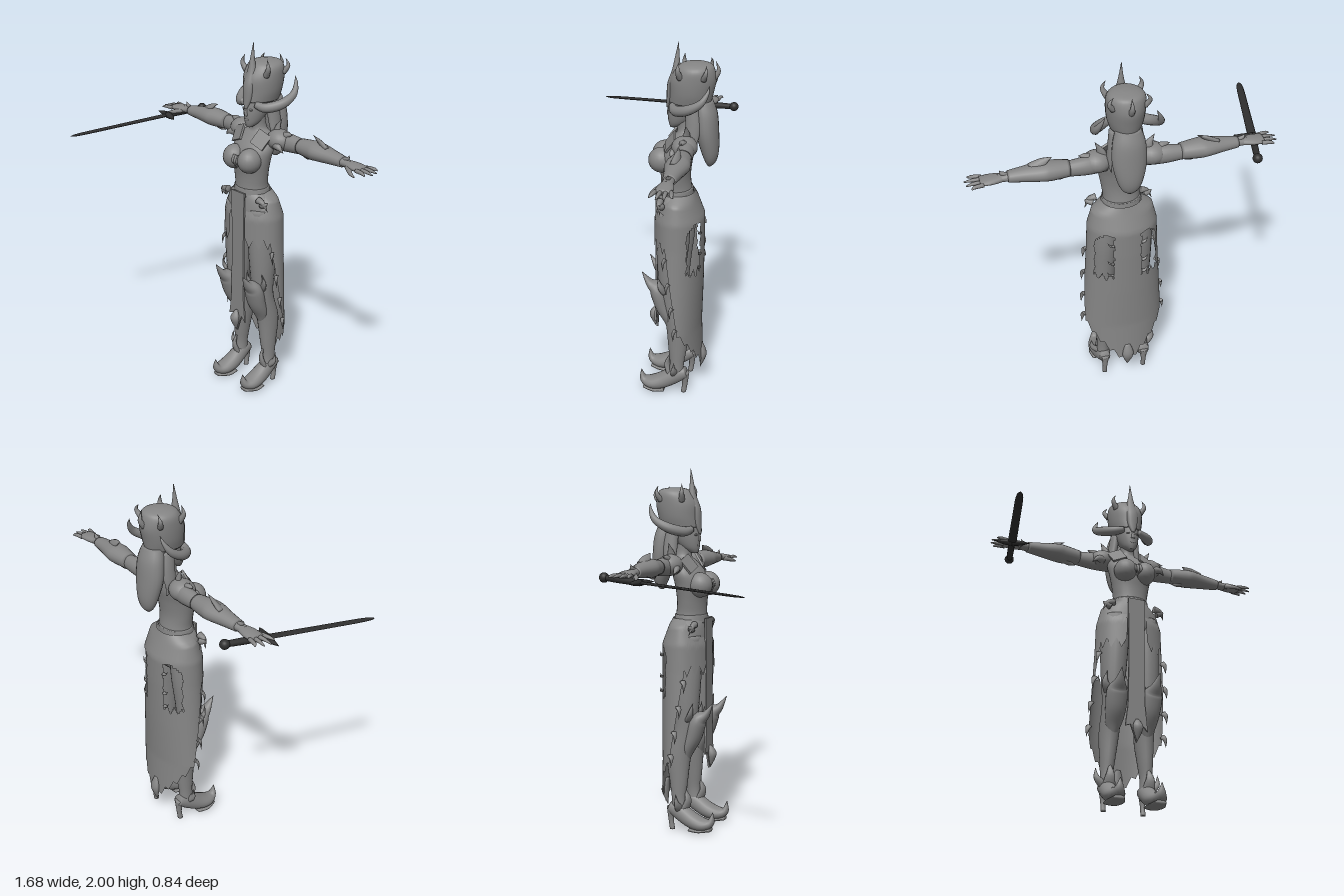
import * as THREE from 'three';

const V = (a) => new THREE.Vector3(a[0], a[1], a[2]);
const X = [1, 0, 0], Y = [0, 1, 0], Z = [0, 0, 1];

// Smooth interpolation through rows of numbers, t in 0..1
function sample(rows, t) {
  const n = rows.length - 1, f = Math.min(t, 0.99999) * n, i = Math.floor(f), u = f - i;
  const r = (k) => rows[Math.max(0, Math.min(n, k))];
  return rows[0].map((_, c) => {
    const a = r(i - 1)[c], b = r(i)[c], d = r(i + 1)[c], e = r(i + 2)[c];
    return b + 0.5 * u * (d - a + u * (2 * a - 5 * b + 4 * d - e + u * (3 * (b - d) + e - a)));
  });
}

// Linear lookup in a table of [y, value...] sorted by falling y
function lookup(table, y) {
  let i = 0;
  while (i < table.length - 2 && y < table[i + 1][0]) i++;
  const a = table[i], b = table[i + 1];
  const t = THREE.MathUtils.clamp((a[0] - y) / (a[0] - b[0]), 0, 1);
  return a.map((v, k) => v + (b[k] - v) * t);
}

function geometry(pos, idx) {
  const g = new THREE.BufferGeometry();
  g.setAttribute('position', new THREE.Float32BufferAttribute(pos, 3));
  g.setIndex(idx);
  g.computeVertexNormals();
  return g;
}

// Closed elliptical loft; rows are [x, y, z, radius along ref, other radius]
function loft(rows, ref = X, axis = null, seg = 20, per = 5) {
  const n = (rows.length - 1) * per, pos = [], idx = [];
  for (let i = 0; i <= n; i++) {
    const p = sample(rows, i / n);
    const T = axis ? V(axis) : V(sample(rows, Math.min(1, (i + 0.5) / n))).sub(V(sample(rows, Math.max(0, (i - 0.5) / n)))).normalize();
    const N = V(ref).addScaledVector(T, -T.dot(V(ref))).normalize(), B = T.clone().cross(N);
    for (let j = 0; j < seg; j++) {
      const a = j / seg * Math.PI * 2;
      const q = V(p).addScaledVector(N, Math.cos(a) * Math.max(p[3], 0.0005)).addScaledVector(B, Math.sin(a) * Math.max(p[4], 0.0005));
      pos.push(q.x, q.y, q.z);
      if (i < n) {
        const k = i * seg + j, l = i * seg + (j + 1) % seg;
        idx.push(k, l, k + seg, l, l + seg, k + seg);
      }
    }
  }
  const c = pos.length / 3;
  pos.push(...sample(rows, 0).slice(0, 3), ...sample(rows, 1).slice(0, 3));
  for (let j = 0; j < seg; j++) {
    const k = (j + 1) % seg;
    idx.push(c, k, j, c + 1, n * seg + j, n * seg + k);
  }
  return geometry(pos, idx);
}

// Open sheet from fn(u, v) -> [x, y, z], with optional holes
function sheet(fn, nu, nv, hole = () => false) {
  const pos = [], idx = [];
  for (let j = 0; j <= nv; j++) for (let i = 0; i <= nu; i++) {
    pos.push(...fn(i / nu, j / nv));
    const k = j * (nu + 1) + i;
    if (i < nu && j < nv && !hole(...fn((i + 0.5) / nu, (j + 0.5) / nv)))
      idx.push(k, k + nu + 1, k + 1, k + 1, k + nu + 1, k + nu + 2);
  }
  return geometry(pos, idx);
}

// Skirt surface: angle 0 is the back, columns are y, half width, half depth
const skirtTable = [[1.19, 0.105, 0.085], [1.15, 0.165, 0.1], [1.05, 0.19, 0.14], [0.9, 0.195, 0.142], [0.65, 0.21, 0.14], [0.4, 0.225, 0.135], [0.1, 0.21, 0.15]];
const reach = [[1.2, 1.95], [0.9, 1.9], [0.65, 1.6], [0.4, 1.3], [0.1, 1.15]];
function skirtPoint(a, y) {
  const [, hx, hz] = lookup(skirtTable, y);
  return [hx * Math.sin(a), y, -0.2 - hz * Math.cos(a) * (Math.cos(a) < 0 ? 0.92 : 1)];
}
const saw = (t) => Math.abs((t % 1) * 2 - 1);

export function createModel() {
  const grey = new THREE.MeshStandardMaterial({ color: 0x858585 });
  grey.name = 'grey';
  const cloth = new THREE.MeshStandardMaterial({ color: 0x858585, side: THREE.DoubleSide });
  cloth.name = 'grey cloth';
  const dark = new THREE.MeshStandardMaterial({ color: 0x303030 });
  dark.name = 'dark metal';
  const model = new THREE.Group(), body = new THREE.Group();
  body.name = 'figure';
  body.position.x = 0.02;
  model.add(body);
  const add = (name, geo, mat = grey, parent = body) => {
    const m = new THREE.Mesh(geo, mat);
    m.name = name;
    parent.add(m);
    return m;
  };
  const ball = (name, p, r, mat, parent) => {
    const m = add(name, new THREE.SphereGeometry(1, 20, 14), mat, parent);
    m.position.set(...p);
    m.scale.set(...r);
    return m;
  };
  // Curved spike through three points
  const spike = (name, a, b, c, r, flat = 1) => add(name, loft([[...a, r, r * flat], [...b, r * 0.65, r * 0.65 * flat], [...c, 0, 0]], [0.9, 0.1, 0.42], null, 10, 5));

  // Torso, pelvis and neck
  add('torso', loft([[0, 1.12, -0.19, 0.13, 0.1], [0, 1.2, -0.185, 0.1, 0.085], [0, 1.28, -0.18, 0.106, 0.08], [0, 1.37, -0.18, 0.122, 0.09],
    [0, 1.44, -0.2, 0.13, 0.085], [0, 1.5, -0.225, 0.1, 0.06], [0, 1.53, -0.23, 0.046, 0.045], [0, 1.6, -0.22, 0.04, 0.045]], X, Y, 28));
  add('pelvis', loft([[0, 0.98, -0.19, 0.14, 0.08], [0, 1.06, -0.195, 0.17, 0.11], [0, 1.14, -0.19, 0.155, 0.1], [0, 1.19, -0.185, 0.103, 0.088]], X, Y, 28));
  add('belt', loft([[0, 1.165, -0.185, 0.112, 0.094], [0, 1.21, -0.185, 0.104, 0.089]], X, Y, 28));

  // Head and face
  add('head', loft([[0, 1.545, -0.165, 0.016, 0.018], [0, 1.575, -0.19, 0.04, 0.052], [0, 1.63, -0.215, 0.058, 0.08], [0, 1.7, -0.24, 0.068, 0.098], [0, 1.76, -0.25, 0.07, 0.1]], X, Y, 24));
  spike('nose', [0, 1.612, -0.142], [0, 1.635, -0.138], [0, 1.68, -0.145], 0.013);
  ball('lips', [0, 1.588, -0.143], [0.018, 0.008, 0.008]);

  // Helmet with crown points
  add('helmet', loft([[0, 1.685, -0.25, 0.08, 0.11], [0, 1.74, -0.257, 0.094, 0.115], [0, 1.81, -0.265, 0.1, 0.12], [0, 1.865, -0.275, 0.096, 0.1], [0, 1.89, -0.28, 0.07, 0.075], [0, 1.9, -0.28, 0.02, 0.02]], X, Y, 28));
  add('helmetCrest', loft([[0, 1.65, -0.135, 0.008, 0.008], [0, 1.7, -0.145, 0.028, 0.018], [0, 1.78, -0.155, 0.035, 0.025], [0, 1.85, -0.175, 0.026, 0.022], [0, 1.92, -0.18, 0.012, 0.012], [0, 2, -0.186, 0.001, 0.001]], X, Y, 14));
  spike('backCrownPoint', [0, 1.82, -0.37], [0, 1.86, -0.395], [0, 1.91, -0.38], 0.018);

  // Long hair down the back
  add('hair', loft([[0, 1.7, -0.32, 0.065, 0.05], [0, 1.63, -0.335, 0.085, 0.06], [0, 1.53, -0.345, 0.09, 0.06], [0, 1.43, -0.36, 0.07, 0.048], [0, 1.37, -0.365, 0.045, 0.03], [0, 1.34, -0.36, 0.012, 0.01]], X, [0, -1, 0], 20));

  for (const s of [-1, 1]) {
    const m = (x, y, z) => [s * x, y, z];
    const side = s > 0 ? 'left' : 'right';
    const part = (n) => side + n;
    ball(part('Breast'), m(0.058, 1.375, -0.112), [0.064, 0.068, 0.07]);
    ball(part('Eye'), m(0.025, 1.645, -0.147), [0.013, 0.006, 0.008]);
    add(part('HairLock'), loft([[...m(0.06, 1.67, -0.27), 0.025, 0.035], [...m(0.07, 1.58, -0.28), 0.025, 0.04], [...m(0.085, 1.5, -0.28), 0.015, 0.03], [...m(0.08, 1.44, -0.3), 0.003, 0.005]]));

    // Curved horn and crown points
    add(part('Horn'), loft([[...m(0.045, 1.675, -0.165), 0.018, 0.018], [...m(0.1, 1.665, -0.19), 0.027, 0.027], [...m(0.15, 1.685, -0.255), 0.027, 0.027],
      [...m(0.163, 1.725, -0.325), 0.02, 0.02], [...m(0.148, 1.775, -0.36), 0.011, 0.011], [...m(0.13, 1.815, -0.37), 0.001, 0.001]], Y, null, 14));
    spike(part('FrontCrownPoint'), m(0.075, 1.83, -0.21), m(0.1, 1.875, -0.2), m(0.085, 1.92, -0.205), 0.018);
    spike(part('RearCrownPoint'), m(0.08, 1.83, -0.33), m(0.102, 1.87, -0.345), m(0.08, 1.905, -0.345), 0.016);

    // Shoulder armour
    ball(part('ShoulderGuard'), m(0.145, 1.487, -0.25), [0.075, 0.058, 0.068]);
    spike(part('ShoulderSpike'), m(0.12, 1.51, -0.25), m(0.125, 1.55, -0.255), m(0.155, 1.605, -0.255), 0.035, 0.6);
    spike(part('OuterSpike'), m(0.17, 1.5, -0.25), m(0.2, 1.525, -0.25), m(0.24, 1.535, -0.25), 0.03);
    spike(part('LowerSpike'), m(0.16, 1.47, -0.21), m(0.195, 1.465, -0.195), m(0.225, 1.44, -0.2), 0.025);
    const flap = add(part('CollarFlap'), new THREE.BoxGeometry(0.085, 0.09, 0.012));
    flap.position.set(...m(0.088, 1.49, -0.165));
    flap.rotation.set(-0.55, s * 0.35, s * -0.25);

    // Arm, gauntlet and hand
    add(part('Arm'), loft([[...m(0.1, 1.475, -0.25), 0.05, 0.045], [...m(0.2, 1.48, -0.265), 0.05, 0.045], [...m(0.31, 1.48, -0.268), 0.04, 0.036], [...m(0.38, 1.485, -0.265), 0.036, 0.036],
      [...m(0.5, 1.485, -0.26), 0.035, 0.036], [...m(0.61, 1.48, -0.257), 0.022, 0.028], [...m(0.65, 1.478, -0.256), 0.02, 0.03]], Y));
    add(part('Gauntlet'), loft([[...m(0.29, 1.483, -0.267), 0.042, 0.046], [...m(0.38, 1.485, -0.265), 0.05, 0.06], [...m(0.43, 1.486, -0.263), 0.047, 0.064], [...m(0.52, 1.483, -0.26), 0.038, 0.046], [...m(0.6, 1.48, -0.257), 0.029, 0.034]], Y));
    spike(part('GauntletFin'), m(0.48, 1.505, -0.262), m(0.425, 1.54, -0.265), m(0.375, 1.565, -0.267), 0.035, 0.5);
    spike(part('GauntletBarb'), m(0.38, 1.465, -0.265), m(0.345, 1.44, -0.267), m(0.305, 1.43, -0.267), 0.026);
    spike(part('WristBarb'), m(0.6, 1.49, -0.257), m(0.63, 1.505, -0.257), m(0.64, 1.525, -0.257), 0.015);
    add(part('Palm'), loft([[...m(0.62, 1.479, -0.257), 0.019, 0.026], [...m(0.68, 1.478, -0.256), 0.019, 0.042], [...m(0.74, 1.475, -0.255), 0.014, 0.042]], Y));
    for (let i = 0; i < 4; i++) {
      const z = -0.292 + i * 0.025, tip = [0.785, 0.81, 0.815, 0.795][i], fan = (i - 1.5) * 0.006;
      add(part('Finger'), loft([[...m(0.725, 1.475, z), 0.011, 0.012], [...m(0.77, 1.476, z + fan), 0.009, 0.01], [...m(tip, 1.47, z + fan * 2), 0.003, 0.004]], Y, null, 10, 4));
    }
    add(part('Thumb'), loft([[...m(0.65, 1.473, -0.235), 0.014, 0.015], [...m(0.7, 1.46, -0.2), 0.011, 0.011], [...m(0.74, 1.45, -0.188), 0.003, 0.003]], Y, null, 10, 4));

    // Leg
    add(part('Leg'), loft([[...m(0.085, 1.1, -0.19), 0.08, 0.09], [...m(0.092, 0.92, -0.185), 0.078, 0.09], [...m(0.098, 0.74, -0.18), 0.068, 0.075], [...m(0.1, 0.58, -0.185), 0.056, 0.062],
      [...m(0.103, 0.42, -0.222), 0.054, 0.068], [...m(0.11, 0.28, -0.222), 0.042, 0.052], [...m(0.115, 0.18, -0.22), 0.034, 0.04], [...m(0.115, 0.1, -0.215), 0.038, 0.045]], X, [0, -1, 0]));

    // Knee guard
    add(part('KneeGuard'), loft([[...m(0.112, 0.735, -0.018), 0.001, 0.001], [...m(0.107, 0.67, -0.06), 0.03, 0.022], [...m(0.104, 0.63, -0.105), 0.058, 0.045], [...m(0.1, 0.54, -0.135), 0.058, 0.045], [...m(0.1, 0.46, -0.17), 0.045, 0.035], [...m(0.103, 0.38, -0.185), 0.012, 0.015]]));
    spike(part('KneeBarb'), m(0.135, 0.64, -0.15), m(0.165, 0.68, -0.13), m(0.16, 0.74, -0.115), 0.028, 0.6);
    spike(part('InnerKneeBarb'), m(0.065, 0.63, -0.13), m(0.05, 0.68, -0.115), m(0.055, 0.73, -0.105), 0.022, 0.6);

    // High-heeled shoe
    add(part('Shoe'), loft([[...m(0.115, 0.13, -0.275), 0.03, 0.03], [...m(0.115, 0.11, -0.22), 0.042, 0.048], [...m(0.115, 0.062, -0.14), 0.052, 0.046], [...m(0.118, 0.045, -0.075), 0.05, 0.036], [...m(0.118, 0.062, -0.03), 0.028, 0.022], [...m(0.118, 0.12, -0.018), 0.001, 0.001]]));
    add(part('Sole'), loft([[...m(0.115, 0.012, -0.15), 0.045, 0.01], [...m(0.116, 0.01, -0.09), 0.052, 0.01], [...m(0.117, 0.018, -0.03), 0.03, 0.01]]));
    add(part('Heel'), loft([[...m(0.115, 0.13, -0.262), 0.028, 0.03], [...m(0.115, 0.06, -0.268), 0.014, 0.016], [...m(0.115, 0, -0.26), 0.014, 0.015]], X, [0, -1, 0], 12));
    spike(part('AnkleSpike'), m(0.14, 0.13, -0.21), m(0.175, 0.165, -0.21), m(0.18, 0.22, -0.215), 0.025, 0.7);
    spike(part('ShinSpike'), m(0.115, 0.12, -0.185), m(0.115, 0.18, -0.165), m(0.11, 0.25, -0.19), 0.035, 0.5);

    // Hip plate with a jagged hem, and its ornament
    add(part('HipPlate'), sheet((u, v) => {
      const bottom = 0.88 + 0.06 * saw(u * 3), y = 1.185 + (bottom - 1.185) * v;
      return skirtPoint(s * (1.85 + u * 0.98), y);
    }, 30, 16), cloth);
    spike(part('HipOrnament'), m(0.12, 1.165, -0.12), m(0.16, 1.155, -0.12), m(0.185, 1.11, -0.13), 0.02);
    spike(part('HipHook'), m(0.14, 1.14, -0.13), m(0.17, 1.15, -0.125), m(0.185, 1.165, -0.13), 0.02);

    // Thorns along the skirt edges
    for (const y of [0.86, 0.72, 0.58, 0.45]) {
      const p = skirtPoint(s * lookup(reach, y)[1], y);
      spike(part('SkirtThorn'), p, [p[0] + s * 0.012, y - 0.02, p[2] + 0.012], [p[0] + s * 0.018, y - 0.065, p[2] + 0.01], 0.018, 0.6);
    }
    for (const y of [0.98, 0.86, 0.78]) {
      const p = skirtPoint(s * 0.4, y);
      spike(part('TearThorn'), p, [p[0] + s * 0.02, y + 0.005, p[2]], [p[0] + s * 0.035, y + 0.025, p[2] + 0.005], 0.011, 0.6);
    }
  }

  // Long back skirt with torn openings and ragged hem
  add('backSkirt', sheet((u, v) => {
    const w = u * 2 - 1, bottom = 0.12 + 0.28 * Math.abs(w) ** 1.1 + 0.035 * saw(Math.abs(w) * 5 + 0.5);
    const y = 1.19 + (bottom - 1.19) * v;
    return skirtPoint(w * lookup(reach, y)[1], y);
  }, 100, 60, (x, y, z) => {
    const a = Math.abs(Math.atan2(x / 0.195, (-0.2 - z) / 0.14));
    return a > 0.38 + 0.05 * saw(y * 14) && a < 1.05 - 0.06 * saw(y * 11) && y > 0.74 + 0.05 * saw(a * 4) && y < 1.04 - 0.25 * (a - 0.6) ** 2;
  }), cloth);
  add('backSkirtTip', loft([[0, 0.26, -0.338, 0.015, 0.01], [0, 0.19, -0.35, 0.032, 0.02], [0, 0.105, -0.335, 0.001, 0.001]], X, [0, -1, 0], 12));

  // Front cloth panel with pointed end
  const panel = new THREE.Shape([[-0.05, 1.19], [-0.046, 0.8], [-0.05, 0.55], [-0.065, 0.43], [-0.035, 0.44], [0, 0.34], [0.035, 0.44], [0.065, 0.41], [0.05, 0.55], [0.046, 0.8], [0.05, 1.19]].map((p) => new THREE.Vector2(...p)));
  add('frontPanel', new THREE.ExtrudeGeometry(panel, { depth: 0.01, bevelEnabled: false })).position.z = -0.09;
  add('frontPanelTip', loft([[0, 0.47, -0.075, 0.008, 0.008], [0, 0.42, -0.062, 0.03, 0.022], [0, 0.345, -0.075, 0.001, 0.001]], X, [0, -1, 0], 12));
  for (let i = -1; i <= 1; i++)
    spike('chestOrnament', [i * 0.018, 1.4, -0.075], [i * 0.016, 1.37, -0.058], [i * 0.006, 1.325 + 0.02 * Math.abs(i), -0.07], 0.012);

  // Sword, built along +z from the guard and then aimed
  const sword = new THREE.Group();
  sword.name = 'sword';
  model.add(sword);
  sword.position.set(-0.696, 1.442, -0.175);
  sword.lookAt(-0.838, 1.403, 0.42);
  add('blade', loft([[0, 0, 0, 0.024, 0.007], [0, 0, 0.28, 0.022, 0.006], [0, 0, 0.55, 0.019, 0.005], [0, 0, 0.612, 0, 0]], X, Z, 8, 4), dark, sword);
  add('grip', loft([[0, 0, -0.23, 0.015, 0.015], [0, 0, -0.12, 0.018, 0.018], [0, 0, 0, 0.016, 0.016]], X, Z, 12), dark, sword);
  ball('pommel', [0, 0, -0.225], [0.026, 0.026, 0.026], dark, sword);
  for (const s of [-1, 1])
    add('guard', loft([[0, 0, 0, 0.018, 0.02], [s * 0.05, 0, 0.002, 0.012, 0.016], [s * 0.1, 0, 0.012, 0.001, 0.001]], Y, null, 10), dark, sword);
  return model;
}
